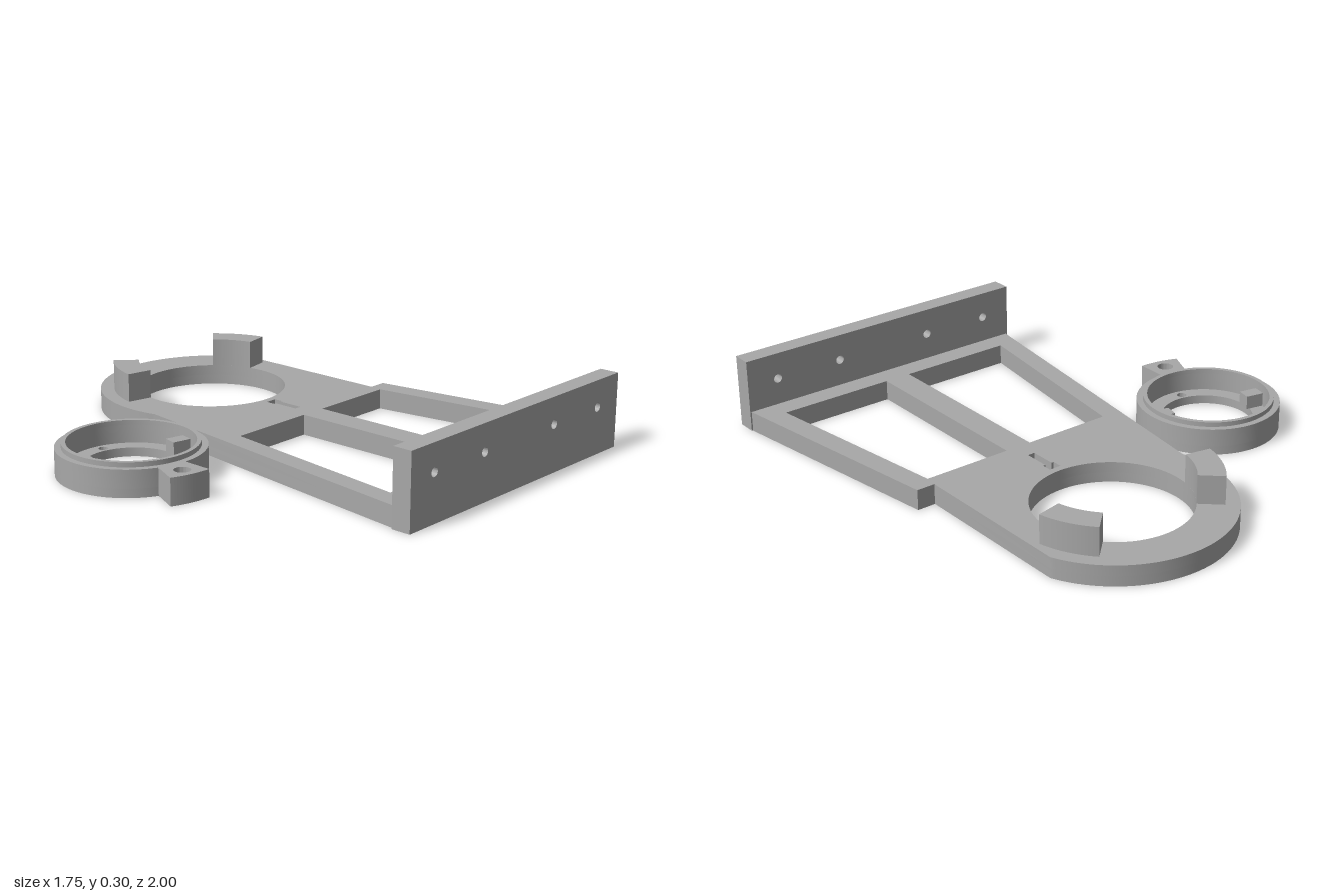
import * as THREE from 'three';
import { toCreasedNormals } from 'three/addons/utils/BufferGeometryUtils.js';

const grey = new THREE.MeshStandardMaterial({ color: 0xa8a8a8 });
grey.name = 'grey plastic';

// Plan shapes use (x, -z), so that extruding and tipping them back puts them on the ground
const polygon = (points, Type = THREE.Path) =>
  new Type(points.map(([x, z]) => new THREE.Vector2(x, -z)));

function disc(x, z, r, Type = THREE.Path) {
  const path = new Type();
  path.absarc(x, -z, r, 0, Math.PI * 2, false);
  return path;
}

// Ring segment; angles in degrees, counter-clockwise seen from above
function sector(x, z, r0, r1, from, to) {
  const a = THREE.MathUtils.degToRad(from), b = THREE.MathUtils.degToRad(to);
  const shape = new THREE.Shape();
  shape.absarc(x, -z, r1, a, b, false);
  shape.absarc(x, -z, r0, b, a, true);
  shape.closePath();
  return shape;
}

function mesh(name, geometry) {
  const m = new THREE.Mesh(toCreasedNormals(geometry, 0.5), grey);
  m.name = name;
  return m;
}

// Upright slab of a plan shape between two heights
function slab(name, shape, holes, y0, y1) {
  shape.holes = holes;
  const g = new THREE.ExtrudeGeometry(shape, { depth: y1 - y0, bevelEnabled: false, curveSegments: 40 });
  g.rotateX(-Math.PI / 2).translate(0, y0, 0);
  return mesh(name, g);
}

function createBracket() {
  const group = new THREE.Group();
  group.name = 'bracket';
  const cx = 0.23, cz = -0.54;

  // Base plate outline with rounded head and tapered legs
  const outline = () => {
    const s = new THREE.Shape();
    s.moveTo(-0.395, -0.92);
    s.lineTo(0.865, -0.92);
    s.lineTo(0.73, 0.035);
    s.lineTo(0.655, 0.035);
    s.absarc(cx, -cz, 0.46, Math.atan2(0.176, 0.425), Math.PI + Math.atan2(0.117, 0.445), false);
    s.closePath();
    return s;
  };
  const openings = () => [
    disc(cx, cz, 0.302),
    polygon([[-0.19, 0.015], [0.175, 0.015], [0.175, 0.83], [-0.3, 0.83]]),
    polygon([[0.285, 0.015], [0.65, 0.015], [0.762, 0.83], [0.285, 0.83]]),
  ];
  const slot = polygon([[0.205, -0.21], [0.255, -0.21], [0.255, -0.17], [0.245, -0.17],
    [0.245, -0.065], [0.215, -0.065], [0.215, -0.17], [0.205, -0.17]]);
  group.add(slab('basePlateLower', outline(), openings(), 0, 0.04));
  group.add(slab('basePlateUpper', outline(), [...openings(), slot], 0.04, 0.082));

  // Curved posts beside the large hole
  group.add(slab('leftPost', sector(cx, cz, 0.302, 0.405, 11.5, 43.5), [], 0.082, 0.197));
  group.add(slab('rightPost', sector(cx, cz, 0.302, 0.405, 136.5, 168.5), [], 0.082, 0.197));

  // Upright mounting wall with four screw holes
  const wall = new THREE.Shape();
  wall.moveTo(-0.405, 0);
  wall.lineTo(0.87, 0);
  wall.lineTo(0.87, 0.298);
  wall.lineTo(-0.405, 0.298);
  wall.closePath();
  wall.holes = [-0.275, 0.015, 0.445, 0.735].map((x) => disc(x, -0.19, 0.018));
  const g = new THREE.ExtrudeGeometry(wall, { depth: 0.078, bevelEnabled: false, curveSegments: 12 });
  group.add(mesh('mountingWall', g.translate(0, 0, 0.922)));
  return group;
}

function createRing() {
  const group = new THREE.Group();
  group.name = 'lockingRing';
  const cx = -0.59, cz = -0.16;
  const circle = (r, Type) => disc(cx, cz, r, Type);

  // Floor flange, outer wall and raised rim
  group.add(slab('ringFloor', circle(0.285, THREE.Shape),
    [circle(0.182), disc(-0.545, -0.365, 0.019), disc(-0.635, 0.043, 0.019)], 0, 0.035));
  group.add(slab('ringWall', circle(0.285, THREE.Shape), [circle(0.243)], 0.035, 0.107));
  group.add(slab('ringRim', circle(0.26, THREE.Shape), [circle(0.243)], 0.107, 0.126));

  // Two catches standing inside the ring
  for (const side of [-1, 1]) {
    const catchBlock = mesh('catch', new THREE.BoxGeometry(0.08, 0.055, 0.055));
    const angle = THREE.MathUtils.degToRad(12);
    catchBlock.position.set(cx + side * 0.207 * Math.cos(angle), 0.0625, cz + side * 0.207 * Math.sin(angle));
    catchBlock.rotation.y = -angle;
    group.add(catchBlock);
  }

  // Ear with a blind hole
  const ear = () => sector(cx, cz, 0.275, 0.405, 246, 269.3);
  group.add(slab('earLower', ear(), [], 0, 0.04));
  group.add(slab('earUpper', ear(), [disc(-0.665, 0.18, 0.032)], 0.04, 0.107));
  return group;
}

export function createModel() {
  const model = new THREE.Group();
  model.name = 'mountingKit';
  model.add(createBracket(), createRing());
  return model;
}
